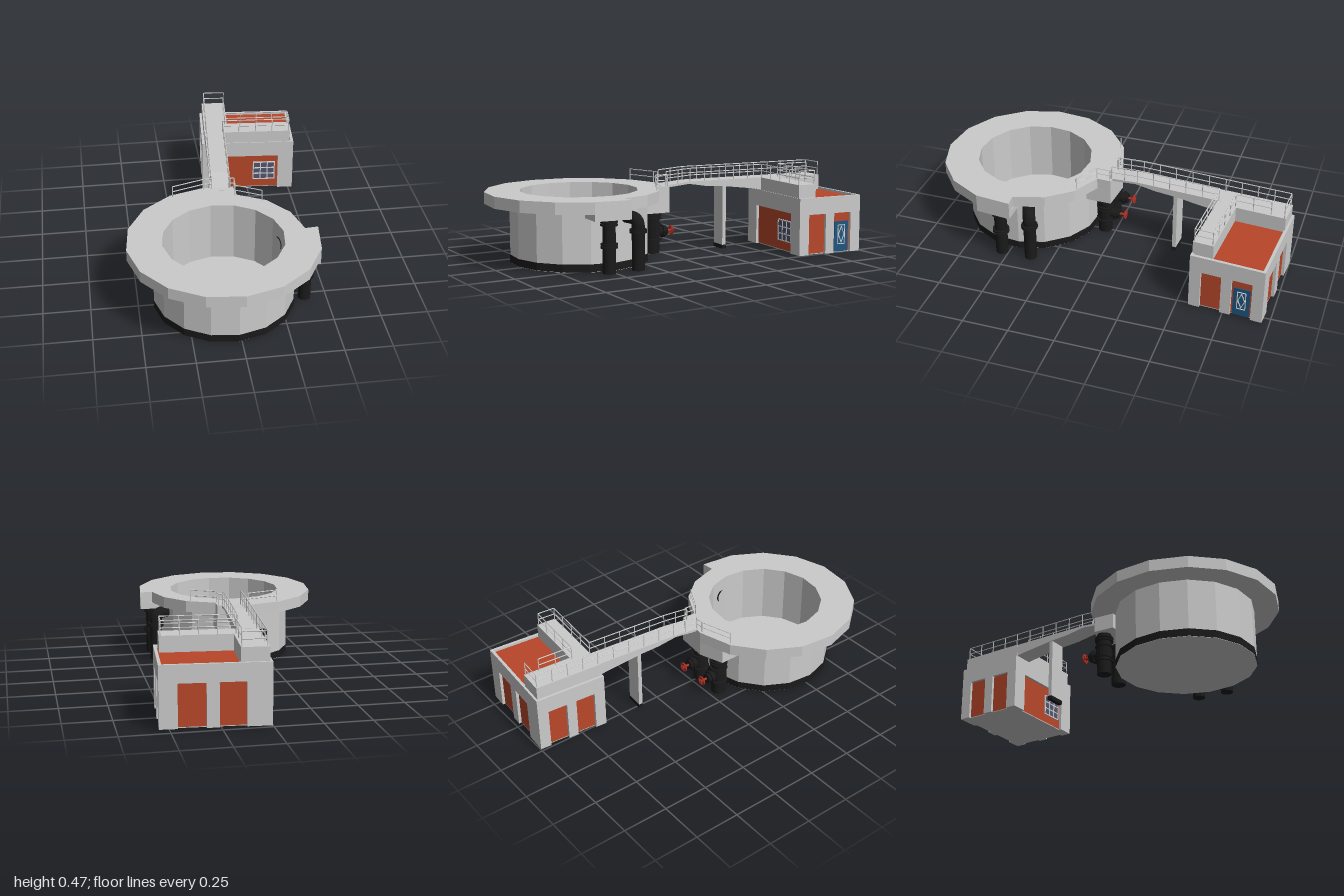
import * as THREE from 'three';

const mat = (color) => new THREE.MeshStandardMaterial({ color, flatShading: true });
const GREY = mat(0xcccccc), RED = mat(0xb8472a), DARK = mat(0x1a1a1a);
const BLUE = mat(0x1f5580), PALE = mat(0xd8dce0), GLASS = mat(0x55556e), WHEEL = mat(0xb03024);

function add(parent, name, geometry, material = GREY, x = 0, y = 0, z = 0) {
  const mesh = new THREE.Mesh(geometry, material);
  mesh.name = name;
  mesh.position.set(x, y, z);
  parent.add(mesh);
  return mesh;
}

// Box given by its minimum and maximum corners
function block(parent, name, a, b, material) {
  const size = a.map((v, i) => b[i] - v);
  return add(parent, name, new THREE.BoxGeometry(...size), material, ...a.map((v, i) => (v + b[i]) / 2));
}

// Upright prism over a plan outline of [x, z] points; a hole winds against the outline
function prism(parent, name, plan, y0, y1, material, hole) {
  const toV = (list) => list.map(([x, z]) => new THREE.Vector2(x, -z));
  const shape = new THREE.Shape(toV(plan));
  if (hole) shape.holes.push(new THREE.Path(toV(hole).reverse()));
  const geo = new THREE.ExtrudeGeometry(shape, { depth: y1 - y0, bevelEnabled: false });
  return add(parent, name, geo.rotateX(-Math.PI / 2), material, 0, y0, 0);
}

// Straight rod between two points
function rod(parent, name, a, b, r, material = GREY, sides = 6) {
  const d = b.clone().sub(a);
  const mesh = add(parent, name, new THREE.CylinderGeometry(r, r, d.length(), sides), material);
  mesh.position.copy(a).addScaledVector(d, 0.5);
  mesh.quaternion.setFromUnitVectors(new THREE.Vector3(0, 1, 0), d.normalize());
  return mesh;
}

// Handrail with a middle rail and evenly spaced posts along a path
function railing(parent, name, path, height, spacing = 0.095) {
  const group = new THREE.Group();
  group.name = name;
  parent.add(group);
  const pts = path.map((p) => new THREE.Vector3(...p));
  const up = (p, h) => p.clone().setY(p.y + h);
  for (let i = 0; i < pts.length - 1; i++) {
    const a = pts[i], b = pts[i + 1];
    for (const h of [height, height * 0.5]) rod(group, 'rail', up(a, h), up(b, h), 0.003);
    const n = Math.max(1, Math.round(a.distanceTo(b) / spacing));
    for (let k = i ? 1 : 0; k <= n; k++) {
      const p = a.clone().lerp(b, k / n);
      rod(group, 'post', p, up(p, height), 0.003);
    }
  }
}

// Upright pipe with flanges at the given heights
function pipe(parent, name, x, z, r, top, flanges) {
  const group = new THREE.Group();
  group.name = name;
  group.position.set(x, 0, z);
  parent.add(group);
  add(group, 'pipeBody', new THREE.CylinderGeometry(r, r, top - 0.004, 16), DARK, 0, top / 2 + 0.002);
  for (const y of flanges) add(group, 'flange', new THREE.CylinderGeometry(r + 0.011, r + 0.011, 0.009, 16), DARK, 0, y);
  return group;
}

const CX = -0.045, CZ = 0.492;
const polar = (r, deg) => {
  const a = THREE.MathUtils.degToRad(deg);
  return [CX + r * Math.cos(a), CZ + r * Math.sin(a)];
};
const ringOf = (r) => Array.from({ length: 16 }, (_, k) => polar(r, -5 + 22.5 * k));

function buildTank(root) {
  const tank = new THREE.Group();
  tank.name = 'tank';
  root.add(tank);
  prism(tank, 'tankUnderside', ringOf(0.374), 0.003, 0.006, GREY);
  prism(tank, 'tankBase', ringOf(0.376), 0.005, 0.045, DARK, ringOf(0.32));
  prism(tank, 'tankFloor', ringOf(0.325), 0.04, 0.05, GREY);
  prism(tank, 'tankWall', ringOf(0.374), 0.045, 0.325, GREY, ringOf(0.32));

  // Wide rim, narrower between the inlet bracket and the bridge landing
  const rim = [];
  for (let k = 0; k <= 12; k++) rim.push(polar(0.507, -5 + 22.5 * k));
  rim.push([0.085, 0.002], [0.082, 0.08]);
  for (const deg of [310, 332.5, 355]) rim.push(polar(0.437, deg));
  prism(tank, 'tankRim', rim, 0.322, 0.385, GREY, ringOf(0.32));

  // Thick brackets over the pipes
  prism(tank, 'landingBracket', [[-0.225, 0.034], polar(0.507, 265), [0.085, 0.002], [0.082, 0.15], [-0.225, 0.15]], 0.238, 0.323);
  prism(tank, 'sideBracket', [[0.305, 0.45], polar(0.507, -5), polar(0.507, 17.5), [0.295, 0.63]], 0.285, 0.323);

  railing(tank, 'rimRailingRight', [[-0.265, 0.385, 0.055], [-0.09, 0.385, 0], [-0.045, 0.385, 0]], 0.063, 0.16);
  railing(tank, 'rimRailingLeft', [[0.056, 0.385, 0.008], [0.077, 0.385, 0.01], [0.074, 0.385, 0.084], [0.21, 0.385, 0.155]], 0.063, 0.16);
}

function buildPipes(root) {
  pipe(root, 'sidePipe', 0.382, 0.537, 0.034, 0.29, [0.27, 0.255, 0.155, 0.14]);

  // Bent pipe entering the tank wall
  const bent = pipe(root, 'bentPipe', 0.382, 0.367, 0.034, 0.24, [0.215, 0.204]);
  const bend = new THREE.CatmullRomCurve3([
    [0, 0.235, 0], [-0.003, 0.255, 0.002], [-0.018, 0.271, 0.008], [-0.045, 0.277, 0.02], [-0.13, 0.277, 0.05],
  ].map((p) => new THREE.Vector3(...p)));
  add(bent, 'elbow', new THREE.TubeGeometry(bend, 14, 0.034, 16), DARK);

  // Valved pipes below the landing
  for (const x of [-0.162, 0]) {
    const p = pipe(root, 'valvedPipe', x, 0.06, 0.039, 0.24, [0.215, 0.2, 0.165, 0.08]);
    add(p, 'valveBody', new THREE.CylinderGeometry(0.045, 0.045, 0.05, 16), DARK, 0, 0.122);
    const at = (z) => new THREE.Vector3(0, 0.122, z);
    rod(p, 'valveBonnet', at(0), at(-0.085), 0.028, DARK, 12);
    rod(p, 'bonnetFlange', at(-0.055), at(-0.068), 0.037, DARK, 12);
    rod(p, 'valveStem', at(-0.07), at(-0.128), 0.007, WHEEL, 8);
    add(p, 'handwheel', new THREE.TorusGeometry(0.023, 0.005, 6, 14), WHEEL, 0, 0.122, -0.119);
    for (const [dx, dy] of [[0.023, 0], [0, 0.023]]) {
      rod(p, 'wheelSpoke', new THREE.Vector3(-dx, 0.122 - dy, -0.119), new THREE.Vector3(dx, 0.122 + dy, -0.119), 0.004, WHEEL);
    }
  }
}

function buildBridge(root) {
  const bridge = new THREE.Group();
  bridge.name = 'bridge';
  root.add(bridge);
  // Side profile as [distance from the tank, height]
  const profile = [[-0.03, 0.386], [0.0, 0.386], [0.15, 0.398], [0.625, 0.398], [0.625, 0.325], [0.57, 0.335],
    [0.37, 0.36], [0.25, 0.368], [0.14, 0.386], [0.02, 0.374], [-0.03, 0.374]];
  const shape = new THREE.Shape(profile.map((p) => new THREE.Vector2(...p)));
  const geo = new THREE.ExtrudeGeometry(shape, { depth: 0.111, bevelEnabled: false }).rotateY(Math.PI / 2);
  add(bridge, 'bridgeDeck', geo, GREY, -0.052, 0, 0);
  block(bridge, 'bridgeColumn', [-0.046, 0.02, -0.381], [0.053, 0.365, -0.359]);
  block(bridge, 'columnFoot', [-0.048, 0, -0.383], [0.055, 0.022, -0.357], DARK);
  const y = 0.397;
  railing(bridge, 'outerRailing', [[-0.046, 0.386, 0], [-0.046, y, -0.15], [-0.044, y, -0.62],
    [-0.044, y, -0.98], [0.08, y, -0.98]], 0.075);
  railing(bridge, 'innerRailing', [[0.053, 0.386, 0], [0.053, y, -0.15], [0.054, y, -0.614], [0.448, y, -0.614],
    [0.448, y, -0.712], [0.072, y, -0.712], [0.072, y, -0.906]], 0.075);
}

function buildHouse(root) {
  const house = new THREE.Group();
  house.name = 'pumpHouse';
  house.position.set(0.205, 0, -0.8015);
  root.add(house);
  const hx = 0.274, hz = 0.1985, t = 0.016;
  block(house, 'redCore', [-hx + t, 0.012, -hz + t], [hx - t, 0.312, hz - t], RED);
  block(house, 'floorSlab', [-hx + t, 0.008, -hz + t], [hx - t, 0.0125, hz - t]);

  // Four walls, each an outline notched by openings [start, end] down to the ground
  const walls = [
    ['frontWall', 0, hx, hz, [[-0.183, 0.183]]],
    ['leftWall', Math.PI / 2, hz, hx, [[-0.138, -0.028], [0.027, 0.137]]],
    ['backWall', Math.PI, hx, hz, [[-0.183, -0.045], [0.017, 0.15]]],
    ['rightWall', -Math.PI / 2, hz, hx, [[-0.137, -0.028], [0.027, 0.137]]],
  ];
  const sides = {};
  for (const [name, angle, half, out, openings] of walls) {
    const side = new THREE.Group();
    side.name = name;
    side.rotation.y = angle;
    house.add(side);
    const low = 0.008, head = 0.232;
    const outline = [[-half, low]];
    for (const [a, b] of openings) outline.push([a, low], [a, head], [b, head], [b, low]);
    outline.push([half, low], [half, 0.325], [-half, 0.325]);
    const shape = new THREE.Shape(outline.map((p) => new THREE.Vector2(...p)));
    add(side, 'wallPanel', new THREE.ExtrudeGeometry(shape, { depth: t, bevelEnabled: false }), GREY, 0, 0, out - t);
    sides[name] = side;
  }

  // Front window with glazing bars
  const f = sides.frontWall, z = hz - t;
  block(f, 'windowGlass', [0.036, 0.065, z], [0.164, 0.18, z + 0.003], GLASS);
  for (const x of [0.036, 0.079, 0.121, 0.164]) block(f, 'windowBar', [x - 0.003, 0.062, z], [x + 0.003, 0.183, z + 0.006], PALE);
  for (const y of [0.065, 0.103, 0.142, 0.18]) block(f, 'windowBar', [0.033, y - 0.003, z], [0.167, y + 0.003, z + 0.006], PALE);

  // Blue door with a latticed pane
  const d = sides.leftWall, w = hx - t;
  block(d, 'blueDoor', [0.037, 0.012, w], [0.127, 0.182, w + 0.006], BLUE);
  const P = (x, y) => new THREE.Vector3(x, y, w + 0.007);
  const lines = [[0.06, 0.055, 0.104, 0.055], [0.06, 0.16, 0.104, 0.16], [0.06, 0.055, 0.06, 0.16], [0.104, 0.055, 0.104, 0.16]];
  for (const sx of [-1, 1]) for (const sy of [-1, 1]) lines.push([0.082, 0.1075 + sy * 0.045, 0.082 + sx * 0.018, 0.1075]);
  for (const [a, b, c, e] of lines) rod(d, 'doorLattice', P(a, b), P(c, e), 0.0028, PALE);

  // Raised L-shaped roof walkway
  const deck = [[-0.055, -0.988], [0.085, -0.988], [0.085, -0.718], [0.456, -0.718], [0.456, -0.608], [-0.055, -0.608]];
  prism(root, 'roofWalkway', deck, 0.31, 0.397);
}

export function createModel() {
  const root = new THREE.Group();
  root.name = 'waterTankStation';
  buildTank(root);
  buildPipes(root);
  // Bridge and house sit slightly askew from the tank
  const wing = new THREE.Group();
  wing.name = 'bridgeAndHouse';
  wing.rotation.y = -THREE.MathUtils.degToRad(4.3);
  root.add(wing);
  buildBridge(wing);
  buildHouse(wing);
  return root;
}
